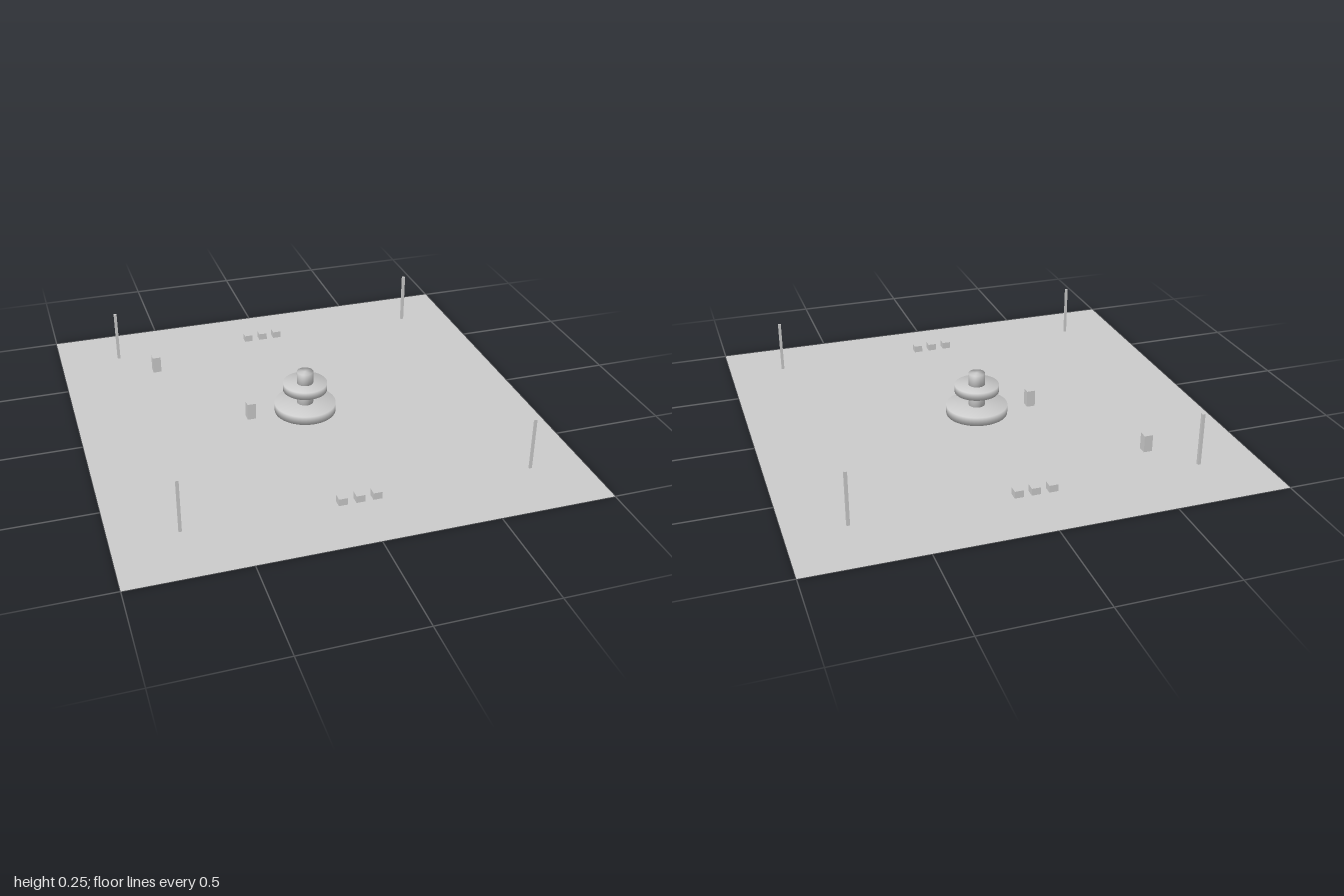
import * as THREE from 'three';
import { mergeVertices } from 'three/addons/utils/BufferGeometryUtils.js';

const grey = new THREE.MeshStandardMaterial({ color: 0xcccccc });
const thin = new THREE.MeshStandardMaterial({ color: 0xcccccc, side: THREE.DoubleSide });
const BASE = 0.015; // height at which the furniture stands

// Drum with normals shared across its rims, for soft shading
function drum(name, radius, y0, y1) {
  const geo = new THREE.CylinderGeometry(radius, radius, y1 - y0, 48);
  geo.deleteAttribute('uv');
  geo.deleteAttribute('normal');
  const merged = mergeVertices(geo);
  merged.computeVertexNormals();
  const mesh = new THREE.Mesh(merged, grey);
  mesh.name = name;
  mesh.position.y = (y0 + y1) / 2;
  return mesh;
}

function block(name, x, z, w, top, d) {
  const mesh = new THREE.Mesh(new THREE.BoxGeometry(w, top - BASE, d), grey);
  mesh.name = name;
  mesh.position.set(x, (BASE + top) / 2, z);
  return mesh;
}

// Flat sheet lying on the ground at height y
function sheet(name, geometry, y) {
  const mesh = new THREE.Mesh(geometry, thin);
  mesh.name = name;
  mesh.rotation.x = -Math.PI / 2;
  mesh.position.y = y;
  return mesh;
}

export function createModel() {
  const model = new THREE.Group();
  model.name = 'parkSquare';

  model.add(sheet('ground', new THREE.PlaneGeometry(2, 2), 0));

  // Paths: outer walk, cross and diagonals around eight triangular lawns
  const outer = 0.705, inner = 0.64, half = 0.05, diag = 0.065;
  const paths = new THREE.Shape([
    new THREE.Vector2(-outer, -outer), new THREE.Vector2(outer, -outer),
    new THREE.Vector2(outer, outer), new THREE.Vector2(-outer, outer)]);
  const lawn = [[half + diag, half], [inner, half], [inner, inner - diag]];
  for (const sx of [-1, 1]) for (const sy of [-1, 1]) for (const swap of [false, true]) {
    paths.holes.push(new THREE.Path(lawn.map(([a, b]) =>
      new THREE.Vector2(sx * (swap ? b : a), sy * (swap ? a : b)))));
  }
  model.add(sheet('paths', new THREE.ShapeGeometry(paths), 0.007));

  // Two-tier fountain
  const fountain = new THREE.Group();
  fountain.name = 'fountain';
  fountain.add(
    drum('fountainBasin', 0.138, BASE, 0.055),
    drum('fountainColumn', 0.037, 0.055, 0.12),
    drum('fountainBowl', 0.099, 0.12, 0.155),
    drum('fountainSpout', 0.037, 0.155, 0.21));
  model.add(fountain);

  // Rows of three low seats at front and back
  for (const z of [-0.737, 0.737]) for (const x of [-0.074, 0, 0.072]) {
    model.add(block('seat', x, z, 0.038, 0.046, 0.038));
  }

  // Lamp posts near the corners, slimmer at the front
  for (const x of [-0.727, 0.755]) {
    model.add(block('frontLampPost', x, 0.733, 0.013, 0.25, 0.006));
    model.add(block('backLampPost', x, -0.736, 0.013, 0.25, 0.013));
  }

  // Two upright bins
  for (const [x, z] of [[-0.573, -0.557], [-0.252, -0.005]]) {
    model.add(block('bin', x, z, 0.038, 0.091, 0.038));
  }
  return model;
}
